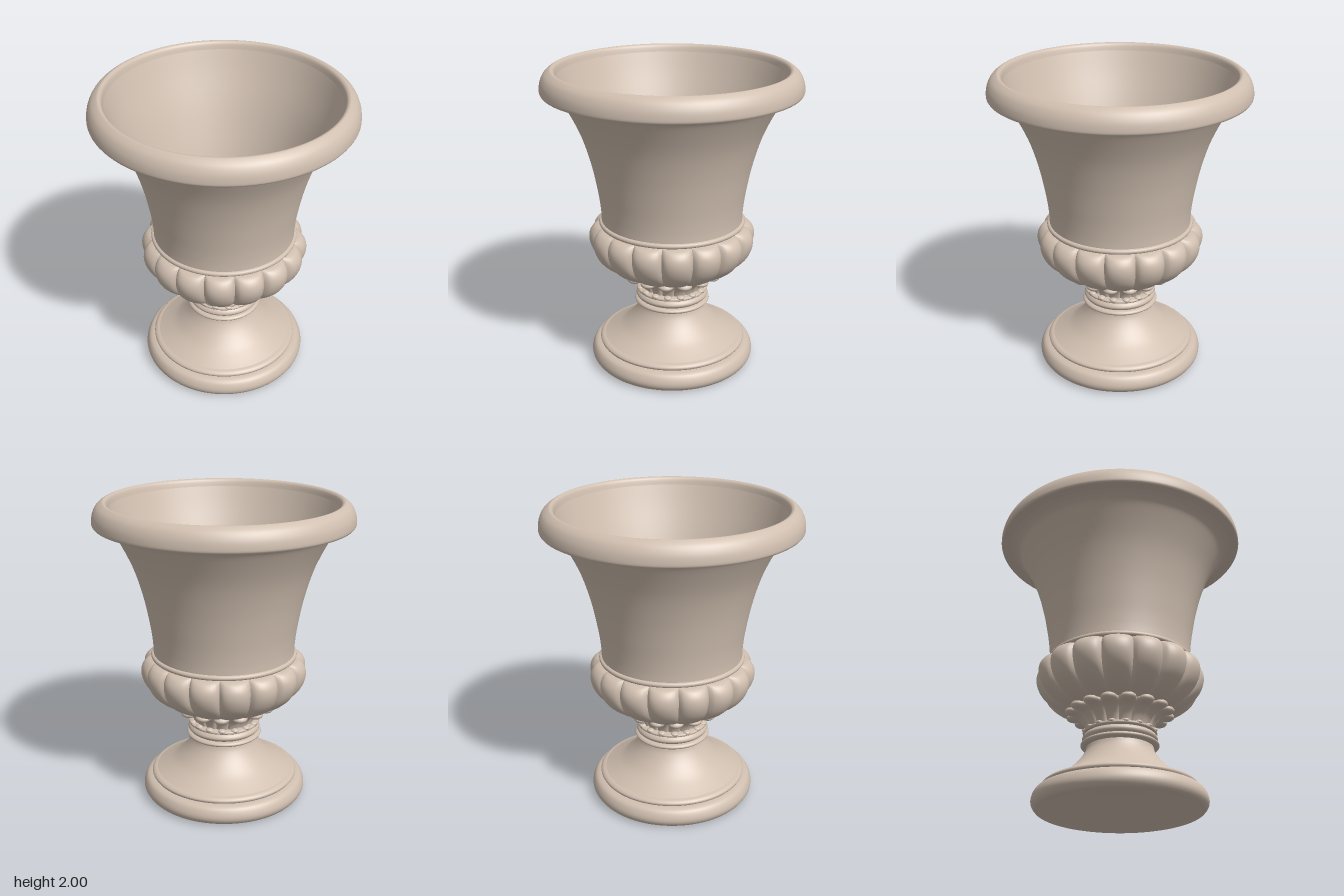
import * as THREE from 'three';
import { mergeGeometries } from 'three/addons/utils/BufferGeometryUtils.js';

const COUNT = 16; // lobes, tongues and beads around the urn

export function createModel() {
  const urn = new THREE.Group();
  urn.name = 'urn';
  const stone = new THREE.MeshStandardMaterial({ color: 0xd0bfb0 });
  stone.name = 'warm stone';

  const add = (name, geometry) => {
    const mesh = new THREE.Mesh(geometry, stone);
    mesh.name = name;
    urn.add(mesh);
  };

  // Smooth curve through [radius, y] points
  const curve = (points, steps) =>
    new THREE.SplineCurve(points.map(([r, y]) => new THREE.Vector2(r, y))).getPoints(steps)
      .map((p) => new THREE.Vector2(Math.max(p.x, 0), p.y));

  const turned = (name, points, steps = 24) =>
    add(name, new THREE.LatheGeometry(curve(points, steps), 96));

  // Merge one piece repeated around the y axis
  const ring = (piece, offset = 0) => mergeGeometries(
    Array.from({ length: COUNT }, (_, i) =>
      piece.clone().rotateY(offset + (i * Math.PI * 2) / COUNT)));

  // One swelling lobe: rows are [radius at crown, y, groove depth]
  const lobe = (rows, steps = 22, across = 14) => {
    const path = new THREE.CatmullRomCurve3(rows.map((r) => new THREE.Vector3(...r))).getPoints(steps);
    const positions = [], indices = [];
    path.forEach((p, i) => {
      for (let j = 0; j <= across; j++) {
        const t = (j / across) * 2 - 1;
        const angle = (t * Math.PI) / COUNT;
        const radius = p.x - p.z * (1 - Math.sqrt(Math.max(0, 1 - 0.96 * t * t)));
        positions.push(radius * Math.sin(angle), p.y, radius * Math.cos(angle));
        if (i < steps && j < across) {
          const a = i * (across + 1) + j, c = a + across + 1;
          indices.push(a, a + 1, c, a + 1, c + 1, c);
        }
      }
    });
    const geometry = new THREE.BufferGeometry();
    geometry.setAttribute('position', new THREE.Float32BufferAttribute(positions, 3));
    geometry.setIndex(indices);
    geometry.computeVertexNormals();
    return geometry;
  };

  const bead = (radius, y, sx, sy, sz) =>
    new THREE.SphereGeometry(1, 16, 12).scale(sx, sy, sz).translate(0, y, radius);

  // Foot
  turned('footHollow', [[0, 0.2], [0.12, 0.17], [0.3, 0.09], [0.5, 0]]);
  turned('footBase', [[0.5, 0], [0.525, 0.01], [0.545, 0.04], [0.545, 0.075], [0.525, 0.115], [0.49, 0.13], [0.46, 0.13]]);
  turned('footRing', [[0.46, 0.128], [0.482, 0.133], [0.489, 0.15], [0.475, 0.165], [0.45, 0.172]], 14);
  turned('footFlare', [[0.46, 0.168], [0.4, 0.2], [0.33, 0.245], [0.265, 0.31], [0.225, 0.37], [0.213, 0.41], [0.213, 0.42]]);

  // Neck mouldings
  turned('neckLowerRing', [[0.2, 0.41], [0.235, 0.412], [0.25, 0.427], [0.235, 0.442], [0.2, 0.444]], 16);
  turned('neckBand', [[0.2, 0.442], [0.225, 0.446], [0.24, 0.468], [0.225, 0.492], [0.2, 0.497]], 18);
  turned('neckUpperRing', [[0.19, 0.495], [0.228, 0.498], [0.236, 0.508], [0.228, 0.518], [0.18, 0.522]], 14);
  add('neckBeads', ring(bead(0.218, 0.518, 0.026, 0.014, 0.024)));

  // Collar of tongues ending in beads, offset half a step from the bowl lobes
  add('collarTongues', ring(lobe([
    [0.2, 0.505, 0.015], [0.212, 0.54, 0.02], [0.232, 0.575, 0.025],
    [0.268, 0.61, 0.03], [0.325, 0.638, 0.04], [0.31, 0.67, 0.03],
  ])));
  add('collarBeads', ring(bead(0.308, 0.642, 0.05, 0.026, 0.046)));

  // Lobed bowl
  add('bowlLobes', ring(lobe([
    [0.27, 0.645, 0.012], [0.35, 0.662, 0.02], [0.44, 0.71, 0.035], [0.51, 0.78, 0.05],
    [0.543, 0.86, 0.06], [0.54, 0.92, 0.06], [0.51, 0.963, 0.05], [0.455, 0.978, 0.015],
    [0.43, 0.978, 0.005],
  ], 36), Math.PI / COUNT));

  // Flared body
  turned('bodyRing', [[0.43, 0.972], [0.467, 0.977], [0.477, 0.99], [0.472, 1.004], [0.455, 1.01]], 14);
  turned('bodyWall', [[0.46, 1.0], [0.463, 1.08], [0.478, 1.2], [0.518, 1.4], [0.58, 1.6],
    [0.67, 1.785], [0.71, 1.835], [0.75, 1.857]], 40);

  // Rim
  turned('rimUnderside', [[0.72, 1.857], [0.813, 1.858]], 1);
  turned('rim', [[0.813, 1.858], [0.82, 1.875], [0.813, 1.925], [0.79, 1.97], [0.755, 1.997],
    [0.738, 1.998], [0.724, 1.985], [0.714, 1.95]], 32);

  // Inside of the vessel
  turned('interior', [[0.714, 1.95], [0.665, 1.82], [0.575, 1.6], [0.485, 1.35], [0.415, 1.13],
    [0.35, 1.0], [0.23, 0.92], [0.1, 0.895], [0, 0.89]], 40);

  return urn;
}
